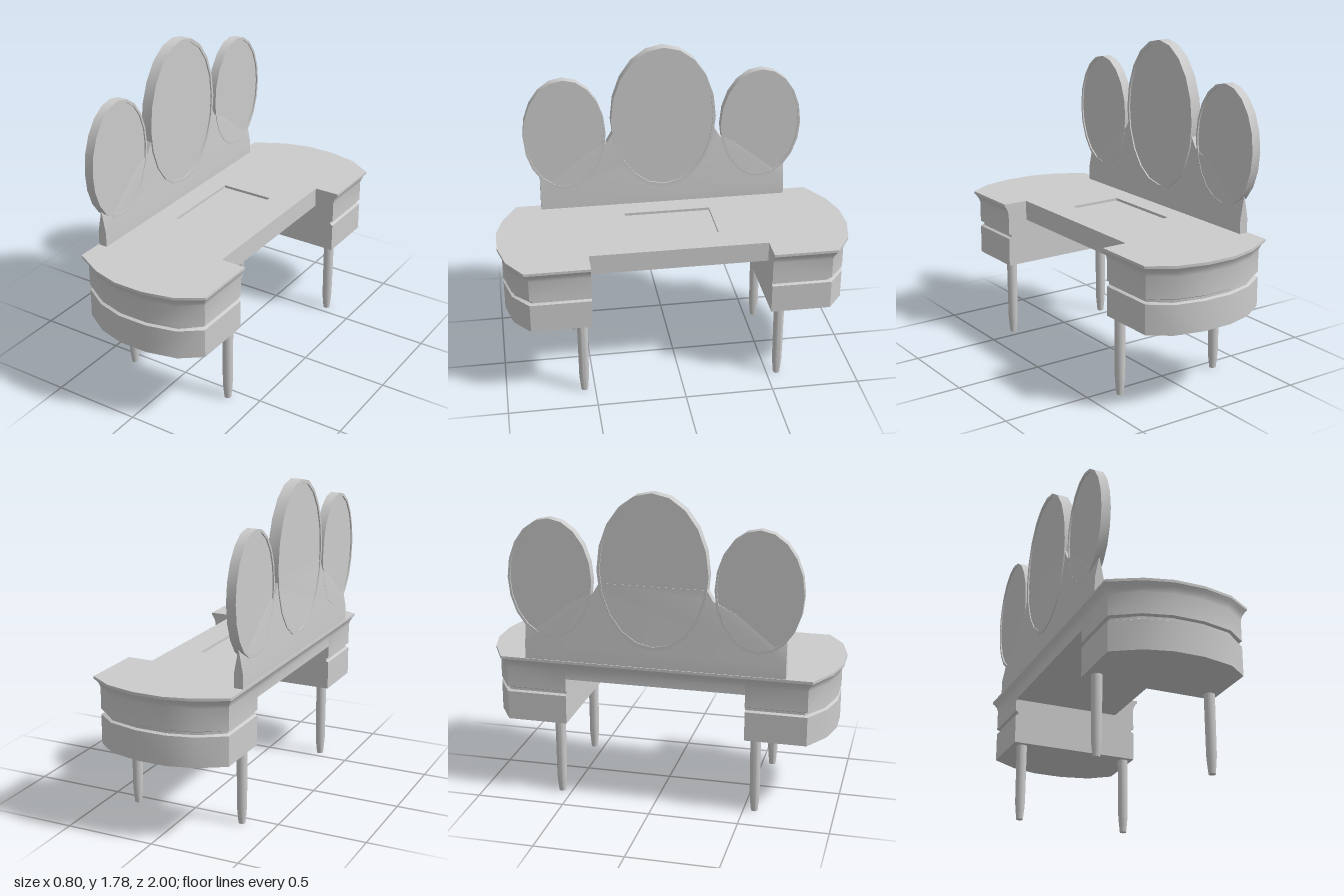
import * as THREE from 'three';
import { toCreasedNormals } from 'three/addons/utils/BufferGeometryUtils.js';

const material = new THREE.MeshStandardMaterial({ color: 0xcccccc });
const INNER = 0.505; // inner side of each pedestal
const TOP = 0.82;
const PLATE = 0.015;
// rounded end of the desk, as [x, z] from back to front
const END = [[-0.4, 0.87], [-0.23, 0.96], [-0.08, 1], [0.09, 1], [0.26, 0.96], [0.4, 0.87]];

function add(group, name, geometry, crease = 0.6) {
  const mesh = new THREE.Mesh(toCreasedNormals(geometry, crease), material);
  mesh.name = name;
  group.add(mesh);
  return mesh;
}

const shapeOf = (pts) => new THREE.Shape(pts.map(([x, y]) => new THREE.Vector2(x, y)));
const extrude = (shape, depth) => new THREE.ExtrudeGeometry(shape, { depth, bevelEnabled: false });

// Pedestal lofted from outlines inset by d at height y; side is +1 or -1 in z
function pedestalGeometry(side) {
  const levels = [
    [0.025, 0.44], [0.025, 0.605], [0.04, 0.613], [0.04, 0.627], [0.025, 0.635], // body with groove
    [0.025, 0.755], [0.02, 0.775], [0.012, 0.79], [0.003, TOP - PLATE], // cove under the top
  ];
  const positions = [];
  const index = [];
  const n = END.length + 2;
  const face = (a, b, c) => index.push(...(side > 0 ? [a, b, c] : [a, c, b]));
  levels.forEach(([d, y], level) => {
    const end = END.map(([x, z]) => [THREE.MathUtils.clamp(x, d - 0.4, 0.4 - d), z - d]);
    const ring = [[d - 0.4, INNER], ...end, [0.4 - d, INNER]];
    ring.forEach(([x, z]) => positions.push(x, y, z * side));
    if (level === 0) return;
    for (let i = 0; i < n; i++) {
      const j = (i + 1) % n;
      const lo = (level - 1) * n;
      const hi = level * n;
      face(lo + i, lo + j, hi + j);
      face(lo + i, hi + j, hi + i);
    }
  });
  for (let i = 1; i < n - 1; i++) face(0, i + 1, i); // underside
  const g = new THREE.BufferGeometry();
  g.setAttribute('position', new THREE.Float32BufferAttribute(positions, 3));
  g.setIndex(index);
  return g;
}

// Oval mirror with a thin raised rim on both faces
function mirrorGeometry(radiusY, radiusZ, thickness) {
  const h = thickness / 2;
  const f = h - 0.008;
  const r = 0.95;
  const profile = [[0, -f], [r, -f], [r, -h], [1, -h], [1, h], [r, h], [r, f], [0, f]];
  return new THREE.LatheGeometry(profile.map(([x, y]) => new THREE.Vector2(x, y)), 20)
    .scale(radiusY, 1, radiusZ)
    .rotateZ(Math.PI / 2);
}

export function createModel() {
  const group = new THREE.Group();
  group.name = 'dressingTable';

  // Desktop plate with knee cut-out and a shallow rectangular recess
  const outline = [
    ...END.map(([x, z]) => [x, -z]),
    [0.4, -INNER], [0.255, -INNER], [0.255, INNER], [0.4, INNER],
    ...[...END].reverse(),
  ];
  const top = shapeOf(outline);
  top.holes.push(shapeOf([[-0.22, -0.25], [-0.22, 0.25], [0.09, 0.25], [0.09, -0.25]]));
  add(group, 'desktop', extrude(top, PLATE).rotateX(-Math.PI / 2).translate(0, TOP - PLATE, 0));

  // Centre section bridging the pedestals
  const centre = shapeOf([
    [-0.375, 0.705], [0.255, 0.705], [0.255, TOP - PLATE],
    [-0.397, TOP - PLATE], [-0.388, 0.79], [-0.38, 0.775], [-0.375, 0.755],
  ]);
  add(group, 'centreSection', extrude(centre, 2 * INNER).translate(0, 0, -INNER));

  // Pedestals and legs
  const legProfile = [[0, 0], [0.019, 0], [0.025, 0.06], [0.028, 0.1], [0.03, 0.44]];
  for (const side of [1, -1]) {
    add(group, 'pedestal', pedestalGeometry(side));
    for (const x of [-0.313, 0.328]) {
      const leg = new THREE.LatheGeometry(legProfile.map(([r, y]) => new THREE.Vector2(r, y)), 14);
      add(group, 'leg', leg, 0.7).position.set(x, 0, side * 0.56);
    }
  }

  // Back panel carrying the mirrors, its upper end corners pinched thin
  const half = [[0.725, TOP], [0.725, 0.9], [0.725, 1.02], [0.33, 1.22], [0.295, 1.28]];
  const panel = extrude(shapeOf([...half, ...half.map(([z, y]) => [-z, y]).reverse()]), 0.05)
    .rotateY(-Math.PI / 2)
    .translate(-0.345, 0, 0);
  const p = panel.attributes.position;
  for (let i = 0; i < p.count; i++) {
    if (p.getY(i) > 1 && Math.abs(p.getZ(i)) > 0.7) p.setX(i, -0.37 + (p.getX(i) + 0.37) * 0.1);
  }
  add(group, 'backPanel', panel, 0.3);

  // Mirrors
  add(group, 'centreMirror', mirrorGeometry(0.432, 0.305, 0.065)).position.set(-0.368, 1.352, 0);
  for (const side of [1, -1]) {
    add(group, 'sideMirror', mirrorGeometry(0.337, 0.237, 0.053)).position.set(-0.369, 1.282, side * 0.573);
  }
  return group;
}
